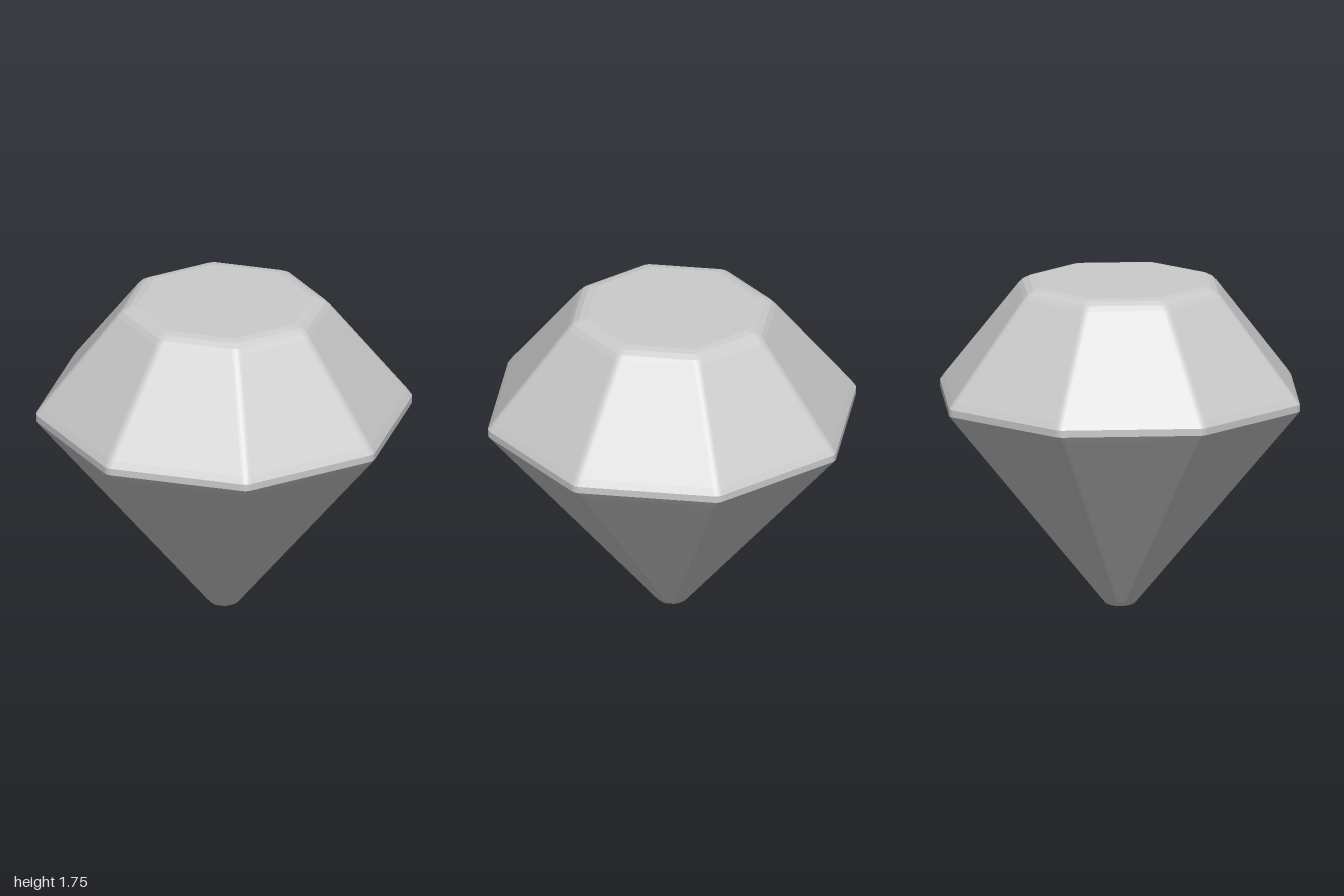
import * as THREE from 'three';

const SIDES = 8, STEPS = 4, BEVEL = 0.025;

// Octagon of a given corner radius with narrowly rounded corners, at height y
function ring(radius, y) {
  const corner = (i) => new THREE.Vector3(
    Math.sin(i * Math.PI * 2 / SIDES) * radius, y, Math.cos(i * Math.PI * 2 / SIDES) * radius);
  const side = corner(0).distanceTo(corner(1));
  const t = Math.min(BEVEL / side, 0.3);
  const points = [];
  for (let i = 0; i < SIDES; i++) {
    const c = corner(i);
    const curve = new THREE.QuadraticBezierCurve3(
      c.clone().lerp(corner(i - 1), t), c, c.clone().lerp(corner(i + 1), t));
    points.push(...curve.getPoints(STEPS));
  }
  return points;
}

// Skin a stack of rings from bottom to top and close both ends
function loft(profile) {
  const rings = profile.map(([r, y]) => ring(r, y));
  const n = rings[0].length, position = [], index = [];
  rings.flat().forEach((p) => position.push(p.x, p.y, p.z));
  for (let k = 0; k < rings.length - 1; k++) {
    for (let i = 0; i < n; i++) {
      const j = (i + 1) % n;
      const a = k * n + i, b = k * n + j, c = a + n, d = b + n;
      index.push(a, b, d, a, d, c);
    }
  }
  const top = (rings.length - 1) * n;
  for (let i = 1; i < n - 1; i++) {
    index.push(0, i + 1, i);
    index.push(top, top + i, top + i + 1);
  }
  const geometry = new THREE.BufferGeometry();
  geometry.setAttribute('position', new THREE.Float32BufferAttribute(position, 3));
  geometry.setIndex(index);
  const faceted = geometry.toNonIndexed();
  faceted.computeVertexNormals();
  return faceted;
}

export function createModel() {
  const group = new THREE.Group();
  group.name = 'gem';

  // Corner radius and height: rounded tip, rounded girdle, rounded table edge
  const profile = [
    [0.06, 0], [0.082, 0.009], [0.1, 0.028],
    [0.975, 1.073], [1.005, 1.11], [1.005, 1.148], [0.98, 1.184],
    [0.57, 1.699], [0.545, 1.724], [0.51, 1.742], [0.465, 1.75],
  ];
  const material = new THREE.MeshStandardMaterial({ color: 0xcccccc, flatShading: true });
  const gem = new THREE.Mesh(loft(profile), material);
  gem.name = 'cutGemstone';
  group.add(gem);
  return group;
}
